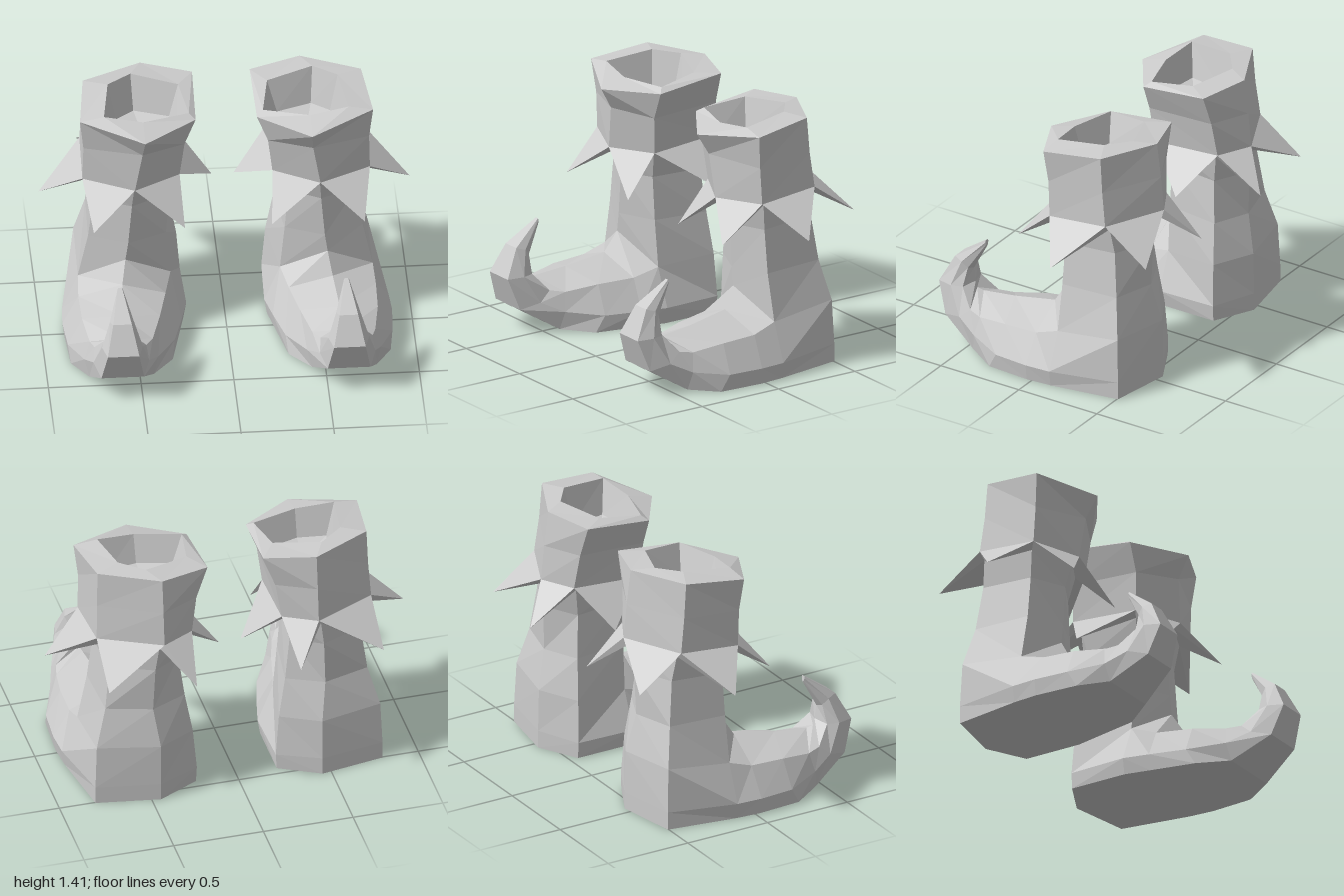
import * as THREE from 'three';

const material = new THREE.MeshStandardMaterial({ color: 0xcccccc, flatShading: true });

const centre = (ring) => [0, 1, 2].map((k) => ring.reduce((sum, p) => sum + p[k], 0) / ring.length);

// Skins a row of rings (counter-clockwise seen from the far end); side = -1 mirrors in x.
function loft(name, rings, side, { capStart = false, capEnd = false, tip = null } = {}) {
  const pos = [];
  const tri = (a, b, c) => {
    for (const p of side > 0 ? [a, b, c] : [a, c, b]) pos.push(p[0] * side, p[1], p[2]);
  };
  const n = rings[0].length;
  const last = rings[rings.length - 1];
  const apex = tip || (capEnd && centre(last));
  const base = centre(rings[0]);
  for (let j = 0; j < n; j++) {
    const k = (j + 1) % n;
    for (let i = 0; i + 1 < rings.length; i++) {
      const [r, s] = [rings[i], rings[i + 1]];
      tri(r[j], r[k], s[k]);
      tri(r[j], s[k], s[j]);
    }
    if (apex) tri(last[j], last[k], apex);
    if (capStart) tri(rings[0][k], rings[0][j], base);
  }
  const geometry = new THREE.BufferGeometry();
  geometry.setAttribute('position', new THREE.Float32BufferAttribute(pos, 3));
  geometry.computeVertexNormals();
  const mesh = new THREE.Mesh(geometry, material);
  mesh.name = name;
  return mesh;
}

// Six-sided rings: outer front, outer back, back, inner back, inner front, front
const legRings = [
  [[0.865, 0, -0.115], [0.8, 0, -0.505], [0.45, 0, -0.565], [0.225, 0, -0.45], [0.225, 0, -0.115], [0.55, 0, -0.1]],
  [[0.88, 0.09, -0.115], [0.8, 0.1, -0.505], [0.45, 0.1, -0.565], [0.22, 0.09, -0.45], [0.21, 0.09, -0.115], [0.55, 0.09, -0.1]],
  [[0.795, 0.3, -0.115], [0.79, 0.35, -0.495], [0.45, 0.34, -0.56], [0.24, 0.33, -0.44], [0.295, 0.3, -0.115], [0.545, 0.455, -0.02]],
  [[0.74, 0.56, -0.11], [0.73, 0.57, -0.45], [0.48, 0.56, -0.51], [0.28, 0.56, -0.42], [0.32, 0.56, -0.11], [0.53, 0.56, -0.02]],
  [[0.71, 0.8, -0.11], [0.7, 0.82, -0.42], [0.47, 0.82, -0.52], [0.31, 0.8, -0.4], [0.34, 0.8, -0.11], [0.51, 0.8, -0.02]],
  [[0.73, 0.95, -0.09], [0.72, 0.97, -0.4], [0.45, 0.97, -0.53], [0.28, 0.97, -0.43], [0.3, 0.95, -0.09], [0.5, 0.94, 0.02]],
];
const collarRings = [
  [[0.775, 0.975, -0.05], [0.765, 1.005, -0.4], [0.43, 1.005, -0.56], [0.25, 1, -0.46], [0.25, 0.97, -0.06], [0.5, 0.96, 0.065]],
  [[0.77, 1.18, -0.04], [0.755, 1.2, -0.375], [0.43, 1.2, -0.54], [0.22, 1.2, -0.44], [0.225, 1.18, -0.04], [0.46, 1.2, 0.08]],
  [[0.79, 1.365, -0.02], [0.75, 1.4, -0.36], [0.43, 1.395, -0.515], [0.155, 1.38, -0.43], [0.165, 1.335, -0.04], [0.45, 1.32, 0.15]],
  [[0.66, 1.385, -0.03], [0.62, 1.41, -0.3], [0.49, 1.405, -0.4], [0.24, 1.385, -0.31], [0.2, 1.36, -0.07], [0.45, 1.36, 0]],
];
const spikeTips = [
  [1, 0.8, -0.2], [0.765, 0.82, -0.66], [0.29, 0.81, -0.71],
  [0.06, 0.79, -0.315], [0.235, 0.745, 0.125], [0.73, 0.775, 0.18],
];

// Foot sections: centre x, half widths of [sole, side, upper edge],
// then [z, y] of sole, side, upper edge and top ridge
const footSections = [
  [0.545, [0.32, 0.335, 0.25], [-0.115, 0], [-0.115, 0.09], [-0.115, 0.3], [-0.02, 0.455]],
  [0.567, [0.31, 0.322, 0.235], [0.03, 0], [0.03, 0.09], [0.02, 0.255], [0.05, 0.34]],
  [0.587, [0.275, 0.288, 0.21], [0.28, 0], [0.23, 0.09], [0.22, 0.245], [0.29, 0.303]],
  [0.6, [0.175, 0.2, 0.17], [0.44, 0.02], [0.42, 0.12], [0.4, 0.222], [0.485, 0.285]],
  [0.61, [0.115, 0.15, 0.14], [0.65, 0.15], [0.54, 0.18], [0.475, 0.235], [0.52, 0.298]],
  [0.61, [0.085, 0.11, 0.09], [0.71, 0.325], [0.62, 0.33], [0.555, 0.33], [0.53, 0.335]],
  [0.61, [0.05, 0.065, 0.05], [0.63, 0.48], [0.58, 0.465], [0.548, 0.43], [0.542, 0.41]],
  [0.61, [0.01, 0.014, 0.01], [0.46, 0.605], [0.459, 0.595], [0.457, 0.58], [0.456, 0.57]],
];

function footRing([cx, [wSole, wSide, wEdge], sole, side, edge, top]) {
  const at = (dx, [z, y]) => [cx + dx, y, z];
  return [at(-wSole, sole), at(wSole, sole), at(wSide, side), at(wEdge, edge),
    at(0, top), at(-wEdge, edge), at(-wSide, side)];
}

function createBoot(name, side) {
  const boot = new THREE.Group();
  boot.name = name;

  boot.add(loft('legAndHeel', legRings, side, { capStart: true }));
  boot.add(loft('curledFoot', footSections.map(footRing), side, { capEnd: true }));

  // Collar turns over the rim into a shallow hollow
  const rim = collarRings[3];
  const mid = centre(rim);
  const floor = rim.map(([x, , z]) => [mid[0] + (x - mid[0]) * 0.75, 1.2, mid[2] + (z - mid[2]) * 0.75]);
  boot.add(loft('collar', [legRings[5], ...collarRings, floor], side, { tip: [mid[0], 1.16, mid[2]] }));

  // Pointed trim, one spike below each collar side
  const [inner, outer] = [legRings[5], collarRings[0]];
  spikeTips.forEach((tip, i) => {
    const k = (i + 1) % spikeTips.length;
    boot.add(loft('collarSpike', [[inner[i], inner[k], outer[k], outer[i]]], side, { tip }));
  });
  return boot;
}

export function createModel() {
  const model = new THREE.Group();
  model.name = 'curledBoots';
  model.add(createBoot('leftBoot', 1), createBoot('rightBoot', -1));
  return model;
}
